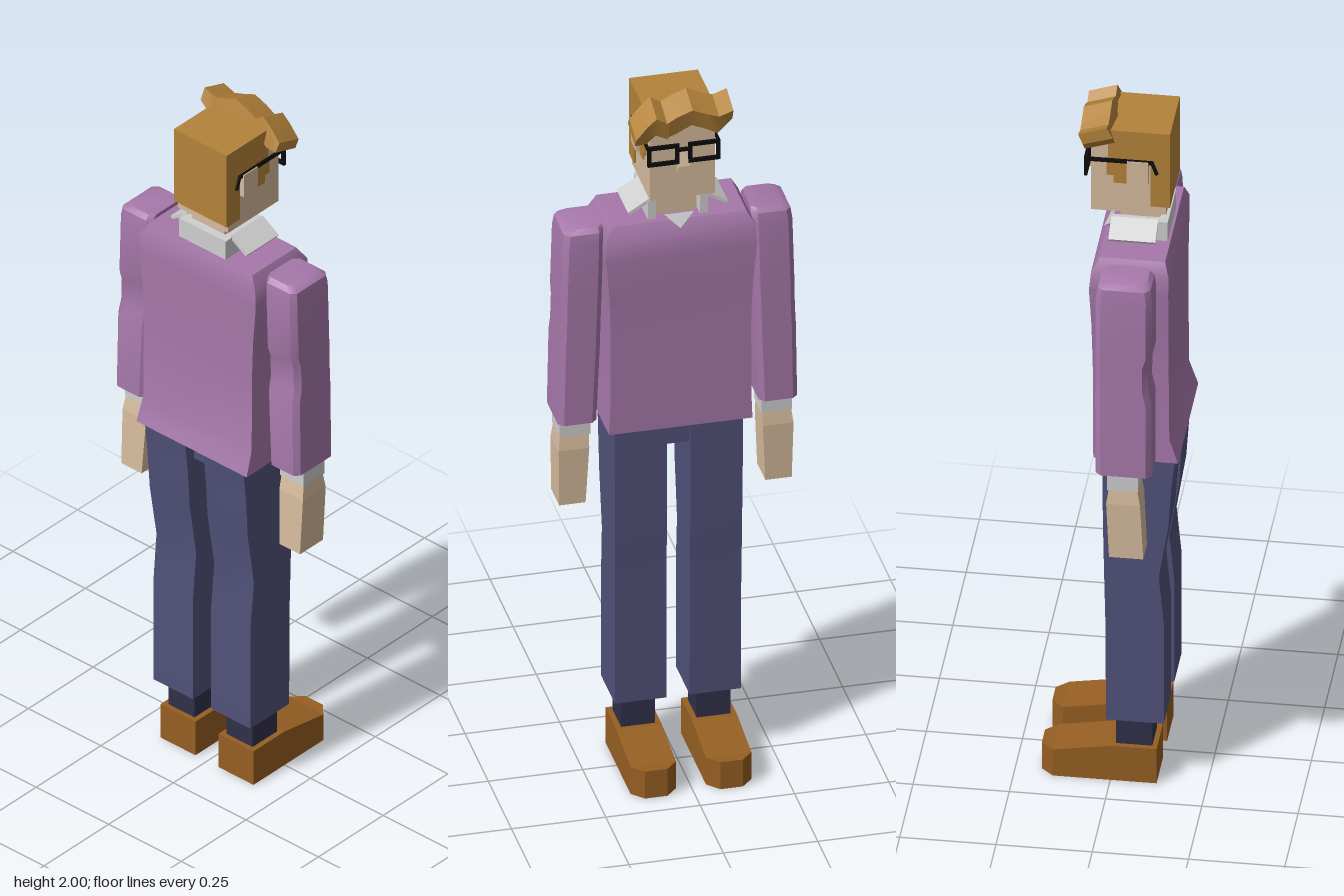
import * as THREE from 'three';
import { toCreasedNormals } from 'three/addons/utils/BufferGeometryUtils.js';

const mat = (name, color, side = THREE.FrontSide) => {
  const m = new THREE.MeshStandardMaterial({ color, side });
  m.name = name;
  return m;
};

export function createModel() {
  const model = new THREE.Group();
  model.name = 'standingMan';

  const sweater = mat('purple sweater', 0xa678aa);
  const denim = mat('blue trousers', 0x51517a);
  const sockNavy = mat('dark navy socks', 0x30304a);
  const leather = mat('brown leather', 0x965f22);
  const skin = mat('skin', 0xd6bb9d);
  const hair = mat('ginger hair', 0xb4833a);
  const shirt = mat('white shirt', 0xcfcfcf);
  const black = mat('black frames', 0x0c0c0c);

  const add = (name, geometry, material, parent = model) => {
    const mesh = new THREE.Mesh(geometry, material);
    mesh.name = name;
    parent.add(mesh);
    return mesh;
  };

  // Skin a list of equal-length rings into a closed solid
  const loft = (rings, crease = 0.1) => {
    const pos = [];
    const quad = (a, b, c, d) => pos.push(...a, ...b, ...c, ...a, ...c, ...d);
    const n = rings[0].length;
    for (let i = 0; i < rings.length - 1; i++) {
      const lo = rings[i], hi = rings[i + 1];
      for (let j = 0; j < n; j++) quad(lo[j], lo[(j + 1) % n], hi[(j + 1) % n], hi[j]);
    }
    const first = rings[0], last = rings[rings.length - 1];
    for (let k = 0; k < n / 2 - 1; k++) {
      const [a, b, c, d] = [(n - k) % n, 1 + k, 2 + k, n - 1 - k];
      quad(last[a], last[b], last[c], last[d]);
      quad(first[d], first[c], first[b], first[a]);
    }
    const g = new THREE.BufferGeometry();
    g.setAttribute('position', new THREE.Float32BufferAttribute(pos, 3));
    return toCreasedNormals(g, crease);
  };

  // Rectangular section at height y, with optional cut corners
  const section = ([y, x0, x1, z0, z1], c = 0) => c
    ? [[x0 + c, y, z1], [x1 - c, y, z1], [x1, y, z1 - c], [x1, y, z0 + c],
      [x1 - c, y, z0], [x0 + c, y, z0], [x0, y, z0 + c], [x0, y, z1 - c]]
    : [[x0, y, z1], [x1, y, z1], [x1, y, z0], [x0, y, z0]];
  const column = (rows, c, crease) => loft(rows.map((r) => section(r, c)), crease);

  // Box given by its limits
  const box = (x0, x1, y0, y1, z0, z1) => new THREE.BoxGeometry(x1 - x0, y1 - y0, z1 - z0)
    .translate((x0 + x1) / 2, (y0 + y1) / 2, (z0 + z1) / 2);

  // Torso, flared at the hem and rounded at the shoulders
  add('sweaterBody', column([
    [1.01, -0.19, 0.19, -0.04, 0.18],
    [1.08, -0.187, 0.187, -0.041, 0.157],
    [1.3, -0.186, 0.186, -0.042, 0.155],
    [1.42, -0.19, 0.19, -0.045, 0.155],
    [1.53, -0.2, 0.2, -0.05, 0.156],
    [1.585, -0.198, 0.198, -0.045, 0.156],
    [1.62, -0.178, 0.178, -0.025, 0.145],
  ], 0, 0.75), sweater);
  add('crotch', box(-0.031, 0.031, 0.945, 1.012, -0.01, 0.135), denim);

  for (const s of [1, -1]) {
    const side = new THREE.Group();
    side.name = s > 0 ? 'leftLimbs' : 'rightLimbs';
    model.add(side);
    const span = (a, b) => (s > 0 ? [a, b] : [-b, -a]);
    const limb = (rows) => rows.map(([y, a, b, z0, z1]) => [y, ...span(a, b), z0, z1]);

    // Shoe with cut toe corners and a sloping upper
    const [a, b] = span(0.04, 0.16);
    const sole = [[a, 0.12], [b, 0.12], [b, 0], [b, -0.15],
      [b - 0.03, -0.182], [a + 0.03, -0.182], [a, -0.15], [a, 0]];
    const upper = (z) => (z >= 0 ? 0.105 : Math.max(0.08, 0.105 + z * 0.167));
    add('shoe', loft([sole.map(([x, z]) => [x, 0, z]), sole.map(([x, z]) => [x, upper(z), z])]), leather, side);
    add('sock', box(...span(0.055, 0.145), 0.1, 0.2, 0.013, 0.107), sockNavy, side);

    // Trouser leg with a shaped back
    add('trouserLeg', column(limb([
      [0.19, 0.031, 0.167, -0.01, 0.14],
      [0.5, 0.031, 0.167, -0.012, 0.14],
      [0.64, 0.031, 0.168, -0.015, 0.127],
      [0.8, 0.031, 0.169, -0.018, 0.152],
      [0.92, 0.031, 0.17, -0.019, 0.16],
      [1.012, 0.031, 0.17, -0.02, 0.17],
    ]), 0, 0.5), denim, side);

    // Sleeve with rounded shoulder and a slight elbow
    add('sleeve', column(limb([
      [1.04, 0.215, 0.317, -0.018, 0.127],
      [1.26, 0.206, 0.313, -0.02, 0.126],
      [1.3, 0.205, 0.311, -0.02, 0.117],
      [1.37, 0.203, 0.309, -0.02, 0.117],
      [1.4, 0.202, 0.309, -0.02, 0.126],
      [1.57, 0.197, 0.304, -0.02, 0.126],
      [1.6, 0.196, 0.3, -0.015, 0.122],
      [1.612, 0.196, 0.28, -0.003, 0.11],
    ]), 0.014, 0.6), sweater, side);
    add('cuff', box(...span(0.226, 0.308), 0.99, 1.045, 0.012, 0.092), shirt, side);
    add('hand', column(limb([
      [0.785, 0.238, 0.308, 0.017, 0.106],
      [0.95, 0.23, 0.311, 0.01, 0.098],
      [0.992, 0.23, 0.306, 0.016, 0.09],
    ])), skin, side);
  }

  // Neck and shirt collar
  add('neck', box(-0.055, 0.055, 1.6, 1.71, 0.012, 0.115), skin);
  add('collarBack', box(-0.08, 0.08, 1.61, 1.677, 0.115, 0.138), shirt);
  for (const s of [1, -1]) {
    const stand = box(-0.011, 0.011, 1.61, 1.677, -0.01, 0.125);
    add('collarSide', stand, shirt).position.x = s * 0.069;
    const flap = add('collarFlap', new THREE.BoxGeometry(0.066, 0.009, 0.122), shirt);
    flap.position.set(s * 0.102, 1.66, 0.052);
    flap.rotation.z = -s * 0.55;
  }
  const vee = new THREE.Shape([[-0.04, 0.02], [0.04, 0.02], [0, -0.02]].map((p) => new THREE.Vector2(...p)));
  const veeMesh = add('shirtFront', new THREE.ExtrudeGeometry(vee, { depth: 0.008, bevelEnabled: false }), shirt);
  veeMesh.position.set(0, 1.617, -0.029);
  veeMesh.rotation.x = 0.5;

  // Head
  const head = new THREE.Group();
  head.name = 'head';
  model.add(head);
  add('face', box(-0.086, 0.086, 1.705, 1.94, -0.06, 0.135), skin, head);
  add('nose', column([
    [1.79, -0.016, 0.016, -0.078, -0.055],
    [1.805, -0.016, 0.016, -0.078, -0.055],
    [1.845, -0.01, 0.01, -0.064, -0.055],
  ]), skin, head);

  // Hair: crown, back and stepped sideburns
  add('hairCrown', box(-0.091, 0.091, 1.87, 1.955, -0.015, 0.146), hair, head);
  add('hairBack', box(-0.091, 0.091, 1.73, 1.87, 0.095, 0.146), hair, head);
  for (const s of [1, -1]) {
    const at = (lo, hi) => (s > 0 ? [lo, hi] : [-hi, -lo]);
    add('sideburn', box(...at(0.075, 0.091), 1.795, 1.87, -0.001, 0.032), hair, head);
    add('sideburnStep', box(...at(0.075, 0.091), 1.818, 1.87, -0.02, -0.001), hair, head);
    add('ear', box(...at(0.08, 0.1), 1.8, 1.868, 0.035, 0.09), skin, head);
  }

  // Wavy fringe locks; each row is x, top height, thickness
  const lock = (rows) => loft(rows.map(([x, top, t, back = 0]) => [
    [x, top - 0.025, -0.088], [x, top, -0.014 + back],
    [x, top - t, 0.002 + back], [x, top - t - 0.025, -0.076],
  ].reverse().map((p) => p)), 0.6);
  const flip = (rows) => {
    const g = lock(rows.slice().reverse());
    return g;
  };
  add('fringeMain', flip([
    [-0.128, 1.985, 0.03], [-0.09, 1.972, 0.055], [-0.055, 1.985, 0.05],
    [-0.02, 2, 0.05], [0.02, 1.985, 0.055], [0.05, 1.968, 0.05],
  ]), hair, head);
  add('fringeSide', flip([
    [0.042, 1.966, 0.05], [0.075, 1.987, 0.055], [0.1, 1.965, 0.055], [0.13, 1.93, 0.022],
  ]), hair, head);

  // Glasses
  const glasses = new THREE.Group();
  glasses.name = 'glasses';
  head.add(glasses);
  for (const s of [1, -1]) {
    const rect = (Cls, x, y) => new Cls([[-x, -y], [x, -y], [x, y], [-x, y]].map((p) => new THREE.Vector2(...p)));
    const rim = rect(THREE.Shape, 0.042, 0.029);
    rim.holes.push(rect(THREE.Path, 0.032, 0.019));
    add('rim', new THREE.ExtrudeGeometry(rim, { depth: 0.008, bevelEnabled: false }), black, glasses)
      .position.set(s * 0.054, 1.843, -0.077);
    add('templeArm', box(-0.003, 0.003, 1.86, 1.87, -0.075, 0.1), black, glasses).position.x = s * 0.094;
    const tip = add('templeTip', new THREE.BoxGeometry(0.006, 0.04, 0.008), black, glasses);
    tip.position.set(s * 0.094, 1.85, 0.105);
    tip.rotation.x = -0.35;
  }
  add('bridge', box(-0.015, 0.015, 1.85, 1.859, -0.077, -0.069), black, glasses);

  return model;
}
